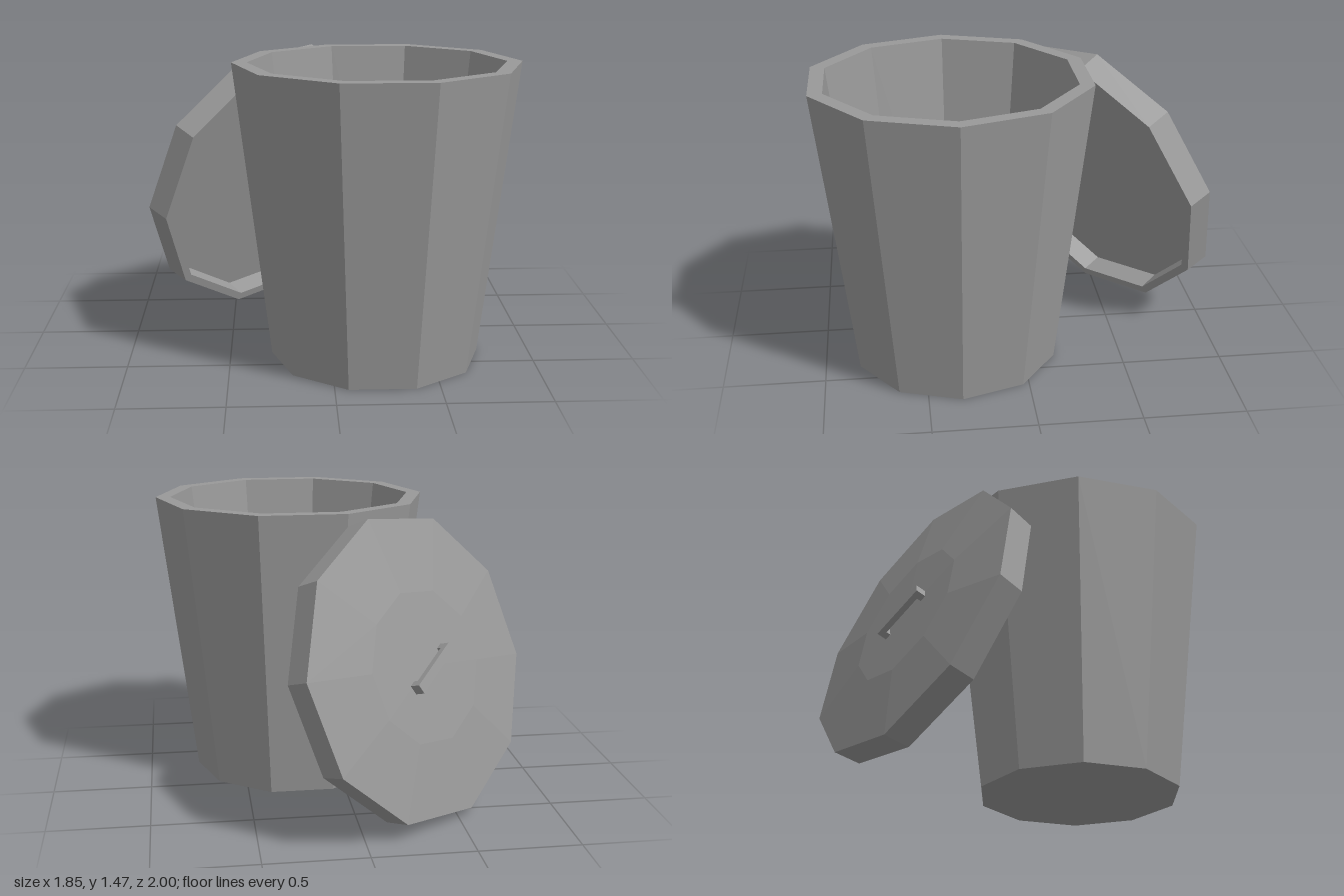
import * as THREE from 'three';

const material = new THREE.MeshStandardMaterial({ color: 0x999999, flatShading: true });

// Ten-sided solid of revolution; profile runs from the bottom centre, outside, to the inner centre
function decagon(name, profile, phiStart) {
  const points = profile.map(([r, y]) => new THREE.Vector2(r, y));
  const mesh = new THREE.Mesh(new THREE.LatheGeometry(points, 10, phiStart), material);
  mesh.name = name;
  return mesh;
}

function box(name, w, h, d, x, y, z) {
  const mesh = new THREE.Mesh(new THREE.BoxGeometry(w, h, d), material);
  mesh.name = name;
  mesh.position.set(x, y, z);
  return mesh;
}

function createLid() {
  const lid = new THREE.Group();
  lid.name = 'lid';

  // Shallow domed cover with a hollow underside
  lid.add(decagon('lidCover', [
    [0, -0.025], [0.705, -0.025], [0.705, -0.139],
    [0.747, -0.139], [0.76, 0], [0.38, 0.036], [0, 0.038],
  ], 0));

  // Bracket handle: a bar on two short legs
  const handle = new THREE.Group();
  handle.name = 'handle';
  handle.position.x = 0.015;
  handle.add(box('handleBar', 0.052, 0.03, 0.31, 0, 0.075, 0));
  for (const side of [-1, 1]) {
    handle.add(box('handleLeg', 0.052, 0.04, 0.035, 0, 0.043, side * 0.1375));
  }
  lid.add(handle);

  // Lean the lid against the bin: local y is the lid axis, local z runs along the handle
  const axis = new THREE.Vector3(-0.598, 0.29, -0.747).normalize();
  const along = new THREE.Vector3(0.592, -0.47, -0.658);
  const across = new THREE.Vector3().crossVectors(axis, along).normalize();
  along.crossVectors(across, axis);
  lid.setRotationFromMatrix(new THREE.Matrix4().makeBasis(across, axis, along));
  lid.position.set(-0.32, 0.747, -0.5025);
  return lid;
}

export function createModel() {
  const model = new THREE.Group();
  model.name = 'binWithLid';

  // Tapered open bin with a thick wall
  const bin = decagon('bin', [
    [0, 0], [0.518, 0], [0.698, 1.47], [0.624, 1.47], [0.449, 0.06], [0, 0.06],
  ], Math.PI / 2);
  bin.position.set(0.225, 0, 0.335);

  model.add(bin, createLid());
  return model;
}
